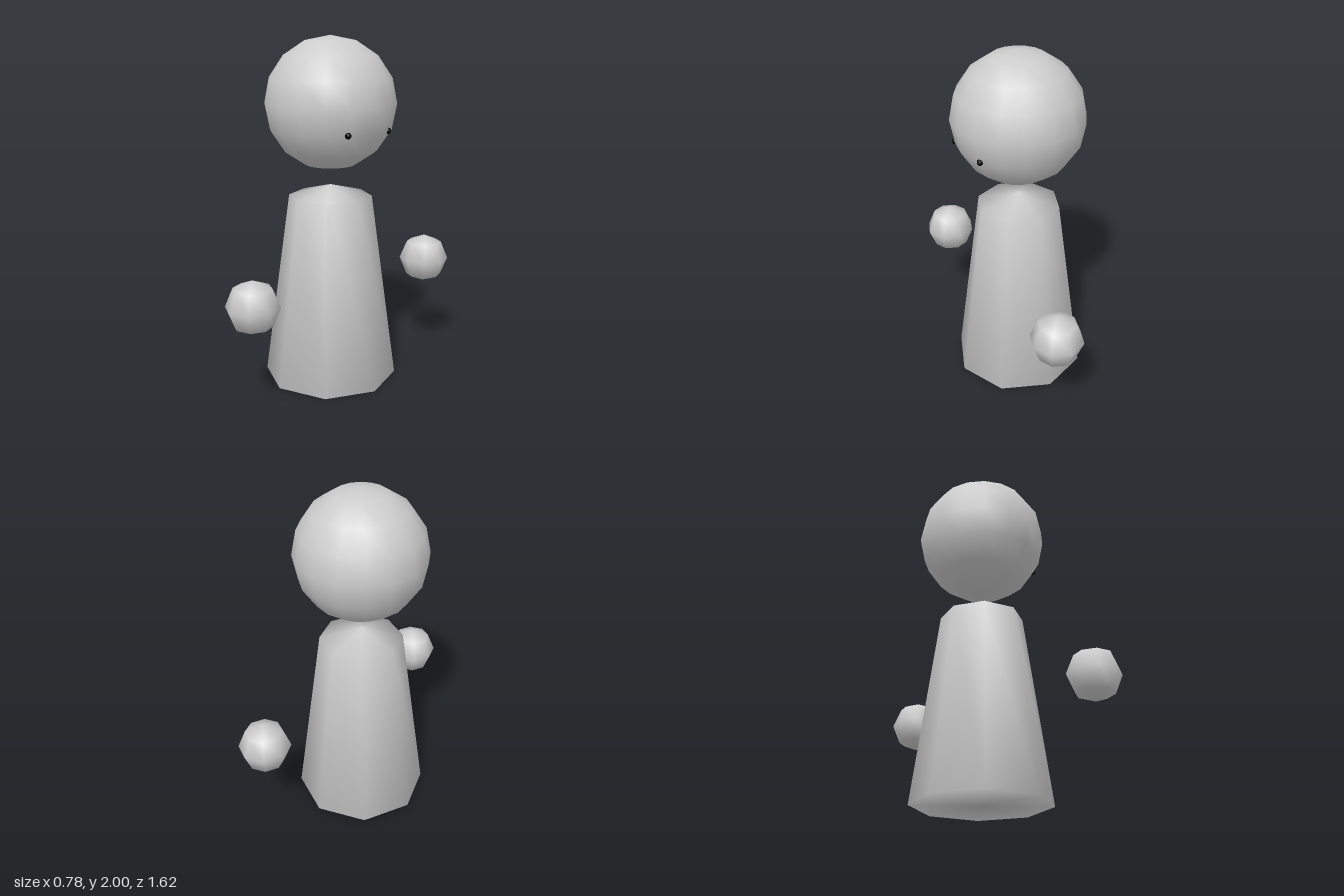
import * as THREE from 'three';

export function createModel() {
  const model = new THREE.Group();
  const grey = new THREE.MeshStandardMaterial({ color: 0xcccccc });
  grey.name = 'light grey';
  const black = new THREE.MeshStandardMaterial({ color: 0x000000 });
  black.name = 'black';

  const add = (name, geometry, material, x, y, z) => {
    const mesh = new THREE.Mesh(geometry, material);
    mesh.name = name;
    mesh.position.set(x, y, z);
    model.add(mesh);
  };

  // Tapered eight-sided body with a shallow pointed top, smooth over the rims
  const profile = [[0, 0], [0.39, 0], [0.24, 1.095], [0, 1.16]]
    .map(([r, y]) => new THREE.Vector2(r, y));
  add('body', new THREE.LatheGeometry(profile, 8), grey, 0, 0, 0);

  // Floating head
  add('head', new THREE.SphereGeometry(0.375, 16, 8), grey, 0, 1.625, 0);

  // Paired floating hands and eyes; the face looks along +x
  const hand = new THREE.SphereGeometry(0.15, 8, 4);
  const eye = new THREE.SphereGeometry(0.018, 8, 6);
  for (const [side, s] of [['front', 1], ['back', -1]]) {
    add(side + 'Hand', hand, grey, 0.14, 0.613, s * 0.66);
    add(side + 'Eye', eye, black, 0.313, 1.49, s * 0.147);
  }
  return model;
}
